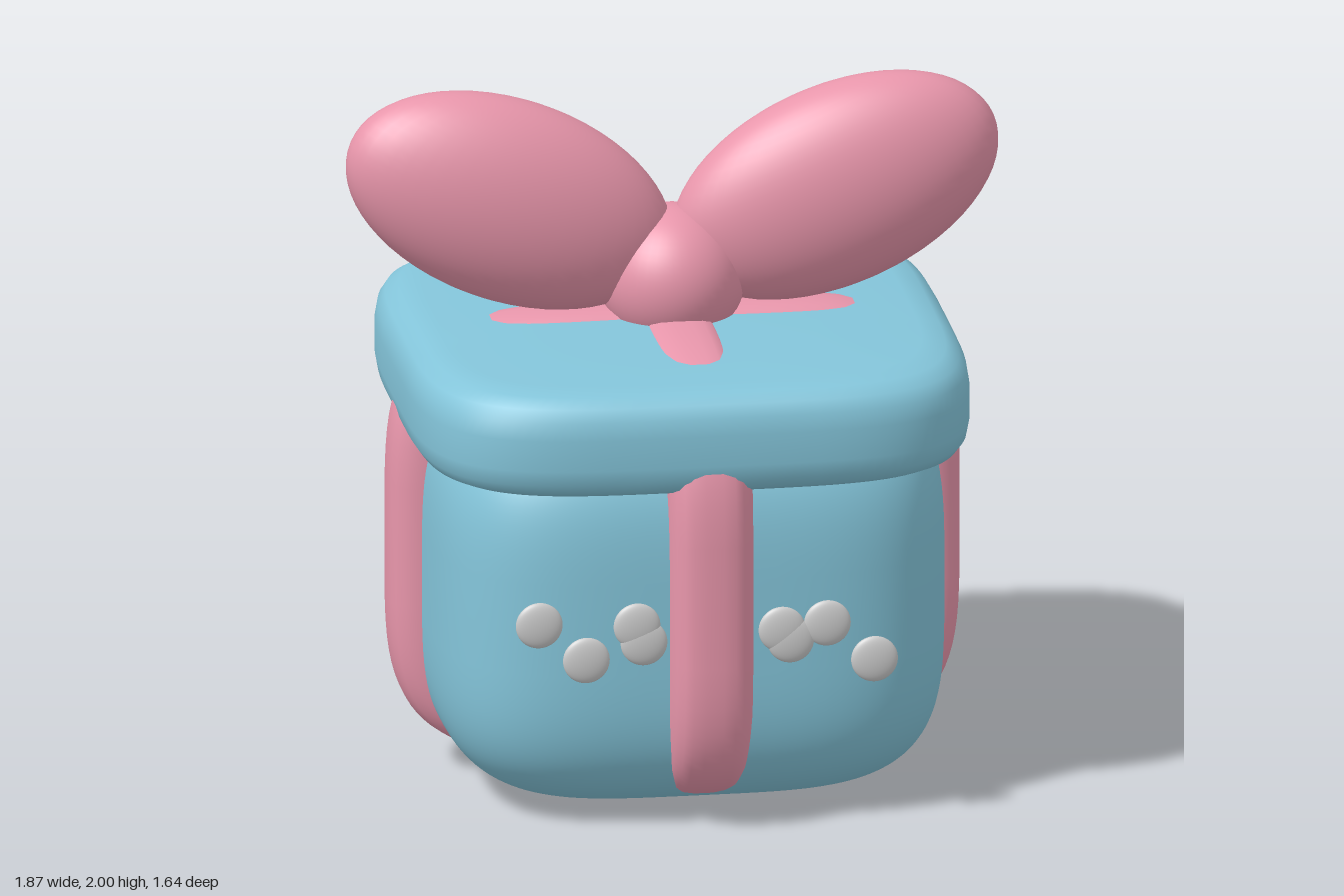
import * as THREE from 'three';

const BLUE = 0x84c5da, PINK = 0xe896ab, GREY = 0xcccccc;
const material = (color) => new THREE.MeshStandardMaterial({ color });
const blue = material(BLUE), pink = material(PINK), grey = material(GREY);

// Signed power, used for rounded-square curves
const spow = (v, p) => Math.sign(v) * Math.abs(v) ** p;

// Stacks rounded-square rings along y. profile: [scale, y] pairs from bottom to top
function loft(profile, halfX, halfZ, n, sides = 96) {
  const positions = [], index = [];
  profile.forEach(([s, y]) => {
    for (let j = 0; j < sides; j++) {
      const a = (j / sides) * Math.PI * 2;
      positions.push(s * halfX * spow(Math.cos(a), 2 / n), y, s * halfZ * spow(Math.sin(a), 2 / n));
    }
  });
  for (let i = 0; i < profile.length - 1; i++) {
    for (let j = 0; j < sides; j++) {
      const k = (j + 1) % sides;
      const a = i * sides + j, b = i * sides + k;
      index.push(a, a + sides, b, b, a + sides, b + sides);
    }
  }
  const geometry = new THREE.BufferGeometry();
  geometry.setAttribute('position', new THREE.Float32BufferAttribute(positions, 3));
  geometry.setIndex(index);
  geometry.computeVertexNormals();
  return geometry;
}

export function createModel() {
  const group = new THREE.Group();
  const add = (name, geometry, mat, x = 0, y = 0, z = 0) => {
    const mesh = new THREE.Mesh(geometry, mat);
    mesh.name = name;
    mesh.position.set(x, y, z);
    group.add(mesh);
    return mesh;
  };

  // Box body: a soft cube
  const bodyProfile = [];
  for (let i = 0; i <= 64; i++) {
    const a = (i / 64 - 0.5) * Math.PI;
    bodyProfile.push([Math.max(0, Math.cos(a)) ** 0.5, 0.61 * spow(Math.sin(a), 0.5)]);
  }
  add('boxBody', loft(bodyProfile, 0.735, 0.735, 4), blue, 0, 0.613, 0);

  // Lid: wide slab with rounded rim and slightly domed top
  const lidProfile = [
    [0, 1.015], [0.86, 1.015], [0.93, 1.02], [0.965, 1.035], [0.99, 1.065], [1, 1.11],
    [1, 1.2], [0.99, 1.25], [0.965, 1.285], [0.92, 1.31], [0.84, 1.322], [0.5, 1.328], [0, 1.332],
  ];
  add('lid', loft(lidProfile, 0.8, 0.8, 4.2), blue);

  // Two crossing ribbon bands with rounded edges
  const half = [[0, 0.122], [0.86, 0.122], [0.91, 0.118], [0.95, 0.105], [0.98, 0.084], [0.993, 0.06], [1, 0.025]];
  const bandProfile = [...half.map(([s, w]) => [s, -w]), ...half.map(([s, w]) => [s, w]).reverse()];
  const band = loft(bandProfile, 0.82, 0.66, 4.2).rotateX(Math.PI / 2);
  add('ribbonSideways', band, pink, 0, 0.69, 0);
  add('ribbonFrontToBack', band, pink, 0, 0.69, 0).rotation.y = Math.PI / 2;

  // Bow: two tilted loops and a round knot
  const ball = new THREE.SphereGeometry(1, 48, 32);
  for (const side of [1, -1]) {
    const loop = add(side > 0 ? 'bowLoopLeft' : 'bowLoopRight', ball, pink, side * 0.467, 1.672, 0);
    loop.scale.set(0.491, 0.291, 0.19);
    loop.rotation.z = side * Math.PI / 8;
  }
  add('bowKnot', ball, pink, 0, 1.427, 0).scale.setScalar(0.208);

  // Flat round studs across the front
  const studs = [
    [-0.495, 0.645], [-0.36, 0.535], [-0.215, 0.63], [-0.195, 0.58],
    [0.2, 0.6], [0.225, 0.568], [0.33, 0.613], [0.465, 0.5],
  ];
  for (const [x, y] of studs) add('stud', ball, grey, x, y, 0.745).scale.set(0.067, 0.067, 0.02);

  return group;
}
